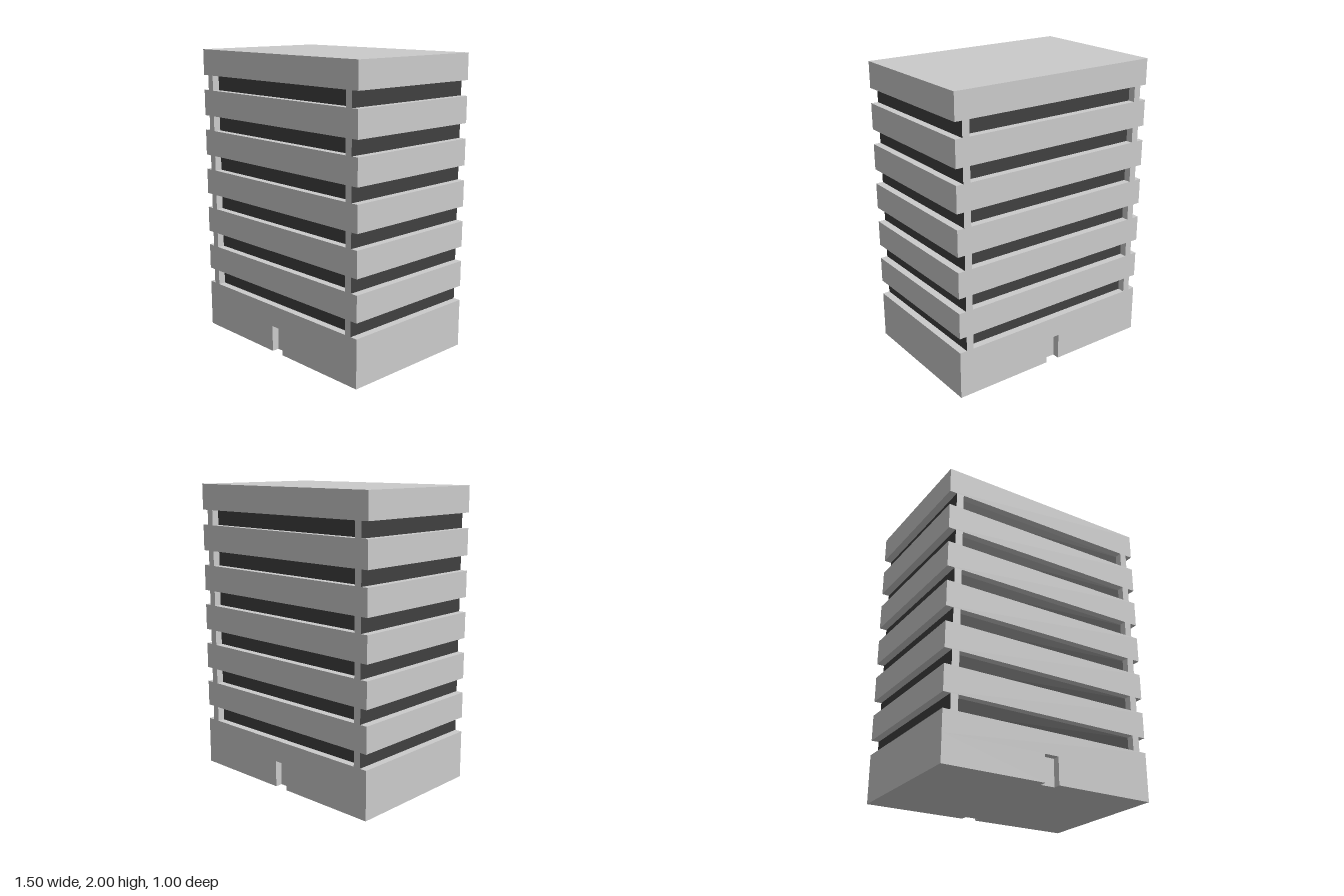
import * as THREE from 'three';

const W = 1.5, H = 2, D = 1;          // overall size
const RECESS = 0.05;                  // depth of window bands and doors
const BANDS = 6, FIRST = 0.328, PITCH = 0.279, BAND_H = 0.102;
const DOOR_W = 0.1, DOOR_H = 0.18;

const wall = new THREE.MeshStandardMaterial({ color: 0xcccccc });
const glass = new THREE.MeshStandardMaterial({ color: 0x404040 });

export function createModel() {
  const building = new THREE.Group();
  building.name = 'officeBuilding';

  // Box placed by its base height
  function block(name, w, y0, y1, d, x, z, material) {
    const mesh = new THREE.Mesh(new THREE.BoxGeometry(w, y1 - y0, d), material);
    mesh.position.set(x, (y0 + y1) / 2, z);
    mesh.name = name;
    building.add(mesh);
  }

  // Ground floor: plan with a door notch in front and back, extruded to door height
  const half = [[-W / 2, D / 2], [-DOOR_W / 2, D / 2], [-DOOR_W / 2, D / 2 - RECESS],
    [DOOR_W / 2, D / 2 - RECESS], [DOOR_W / 2, D / 2], [W / 2, D / 2]];
  const plan = [...half, ...half.map(([x, z]) => [-x, -z])];
  const shape = new THREE.Shape(plan.map(([x, z]) => new THREE.Vector2(x, z)));
  const base = new THREE.Mesh(
    new THREE.ExtrudeGeometry(shape, { depth: DOOR_H, bevelEnabled: false }).rotateX(-Math.PI / 2),
    wall);
  base.name = 'groundFloorWithDoors';
  building.add(base);
  block('wallAboveDoors', W, DOOR_H, FIRST, D, 0, 0, wall);

  for (let i = 0; i < BANDS; i++) {
    const y0 = FIRST + i * PITCH, y1 = y0 + BAND_H;
    const top = i === BANDS - 1 ? H : y0 + PITCH;

    // Recessed ribbon window
    block('windowBand', W - 2 * RECESS, y0, y1, D - 2 * RECESS, 0, 0, glass);

    // Corner posts, with glazing on the outer side face
    for (const sx of [-1, 1]) {
      const faces = Array(6).fill(wall);
      faces[sx > 0 ? 0 : 1] = glass;
      for (const sz of [-1, 1]) {
        block('cornerPost', RECESS, y0, y1, RECESS,
          sx * (W / 2 - 1.5 * RECESS), sz * (D / 2 - RECESS / 2), faces);
      }
    }

    // Solid wall strip above the window
    block(i === BANDS - 1 ? 'roofBlock' : 'wallStrip', W, y1, top, D, 0, 0, wall);
  }
  return building;
}
